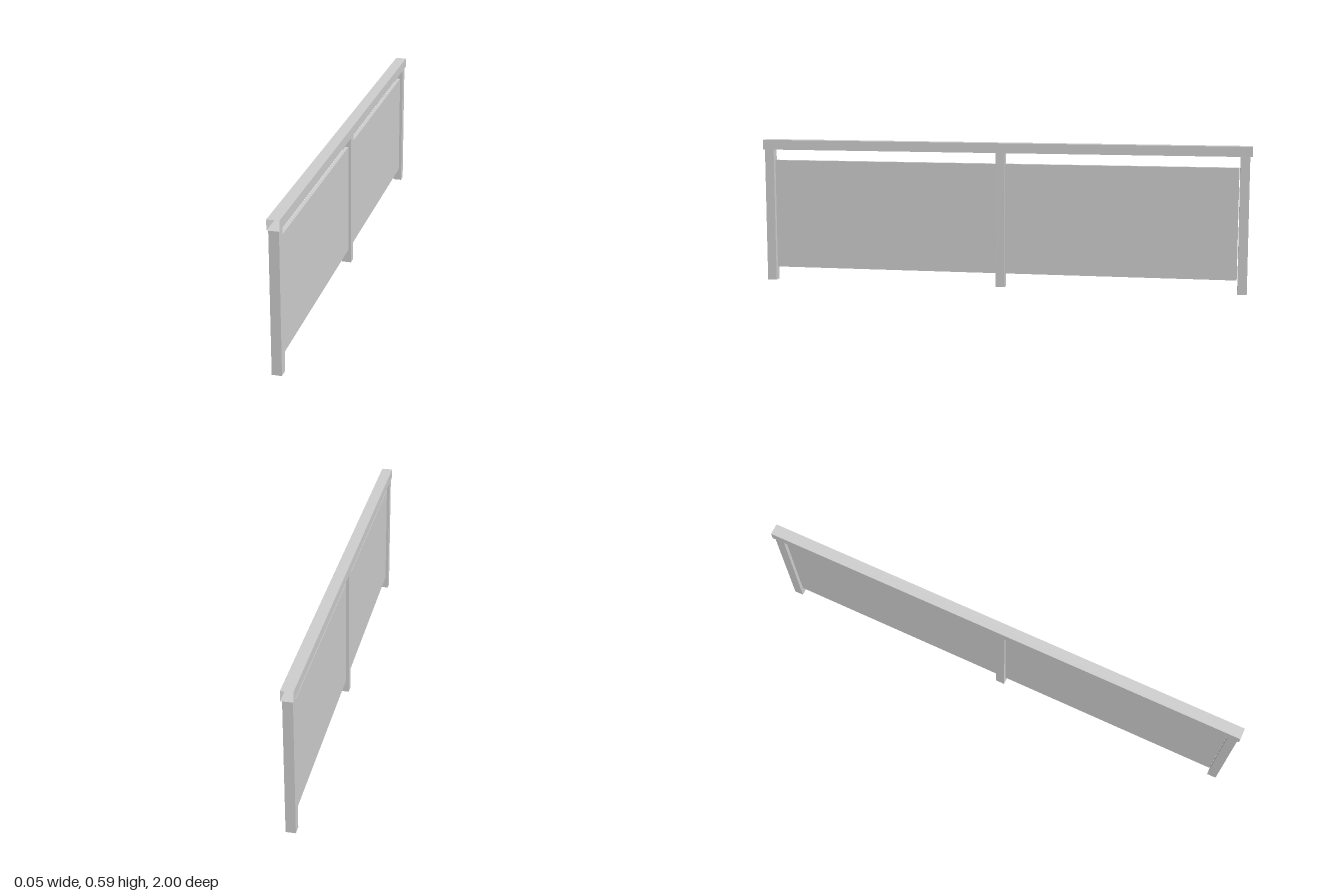
import * as THREE from 'three';

// Box without the two faces across one axis: a thin-walled hollow section
function openTube(w, h, d, axis) {
  const geometry = new THREE.BoxGeometry(w, h, d);
  const faces = Array.from(geometry.index.array);
  faces.splice({ x: 0, y: 12, z: 24 }[axis], 12);
  geometry.setIndex(faces);
  geometry.clearGroups();
  return geometry;
}

export function createModel() {
  const model = new THREE.Group();
  model.name = 'railing';
  const metal = new THREE.MeshStandardMaterial({ color: 0xcccccc, side: THREE.DoubleSide });
  metal.name = 'light grey';

  const add = (name, geometry, y, z) => {
    const mesh = new THREE.Mesh(geometry, metal);
    mesh.name = name;
    mesh.position.set(0, y, z);
    model.add(mesh);
  };

  const postSize = 0.0375, postHeight = 0.55, railHeight = 0.04;
  const postZ = [0.975, 0.002, -0.972];

  // Hollow posts, open at the ends
  for (const z of postZ) {
    add('post', openTube(postSize, postHeight, postSize, 'y'), postHeight / 2, z);
  }

  // Hollow handrail, open at both ends
  add('handrail', openTube(0.046, railHeight, 2, 'z'), postHeight + railHeight / 2, 0);

  // Solid infill panels between neighbouring posts
  const gap = 0.003;
  for (let i = 0; i < 2; i++) {
    const length = postZ[i] - postZ[i + 1] - postSize - gap;
    const shift = (i === 0 ? -1 : 1) * gap / 2; // small gap at the outer posts only
    add('panel', new THREE.BoxGeometry(0.015, 0.45, length), 0.28, (postZ[i] + postZ[i + 1]) / 2 + shift);
  }

  return model;
}
